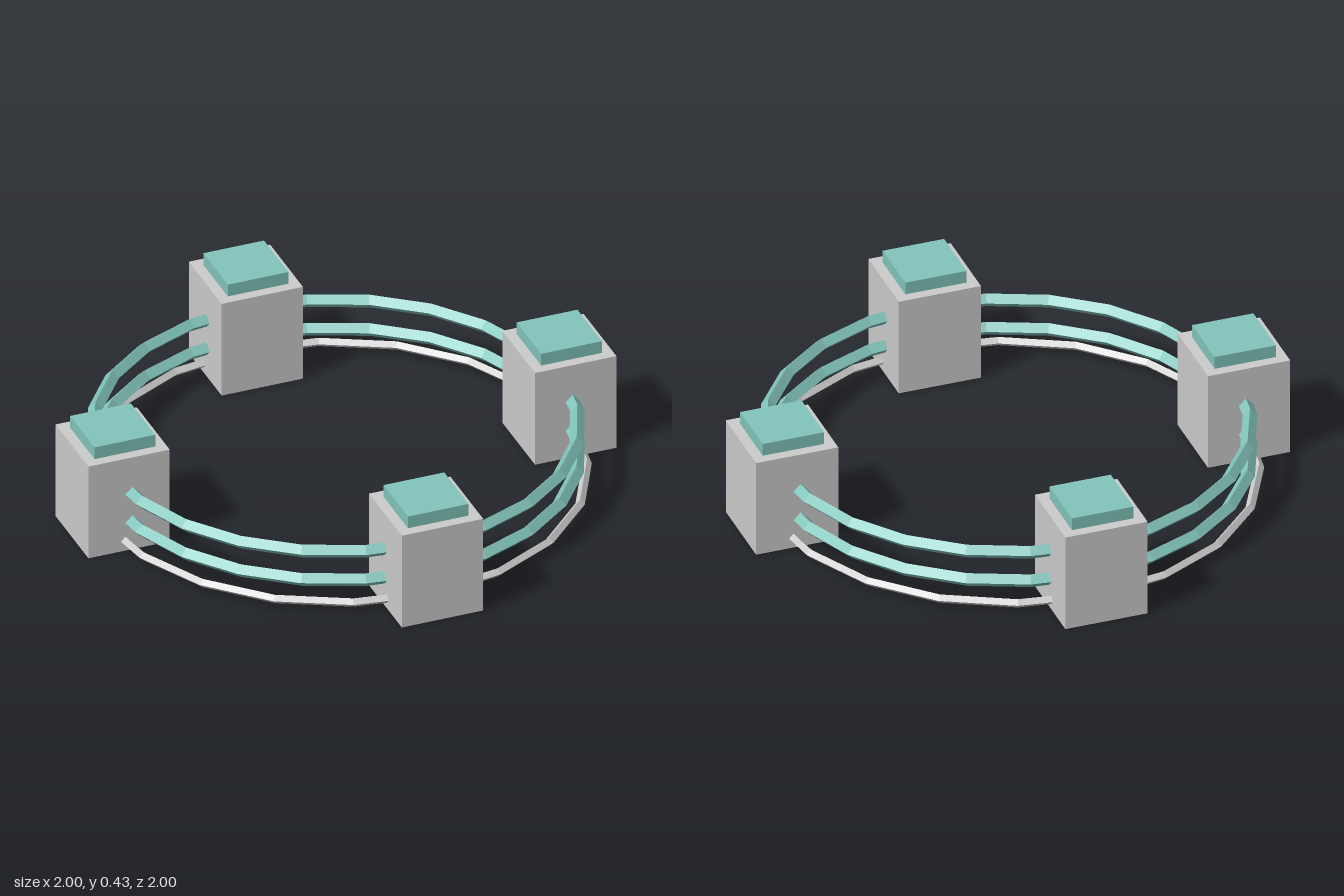
import * as THREE from 'three';

const grey = new THREE.MeshStandardMaterial({ color: 0xcccccc, flatShading: true });
const teal = new THREE.MeshStandardMaterial({ color: 0x82c4bb, flatShading: true });

export function createModel() {
  const model = new THREE.Group();
  model.name = 'ringFence';

  const add = (parent, name, geometry, material, y) => {
    const mesh = new THREE.Mesh(geometry, material);
    mesh.name = name;
    mesh.position.y = y;
    parent.add(mesh);
  };

  // Four square posts with raised caps, one on each axis
  const postGeometry = new THREE.BoxGeometry(0.308, 0.377, 0.308);
  const capGeometry = new THREE.BoxGeometry(0.23, 0.048, 0.23);
  for (let i = 0; i < 4; i++) {
    const angle = (i * Math.PI) / 2;
    const post = new THREE.Group();
    post.name = 'post' + (i + 1);
    post.position.set(Math.sin(angle) * 0.846, 0, Math.cos(angle) * 0.846);
    post.rotation.y = angle;
    add(post, 'postBlock', postGeometry, grey, 0.1885);
    add(post, 'postCap', capGeometry, teal, 0.401);
    model.add(post);
  }

  // Faceted rails with a diamond section, running through the posts
  const rail = (radius, tube, sides) =>
    new THREE.TorusGeometry(radius, tube, 4, sides).rotateX(Math.PI / 2);
  add(model, 'upperRail', rail(0.854, 0.026, 24), teal, 0.23);
  add(model, 'middleRail', rail(0.854, 0.026, 24), teal, 0.113);
  add(model, 'lowerRail', rail(0.884, 0.017, 20), grey, 0.04);

  return model;
}
